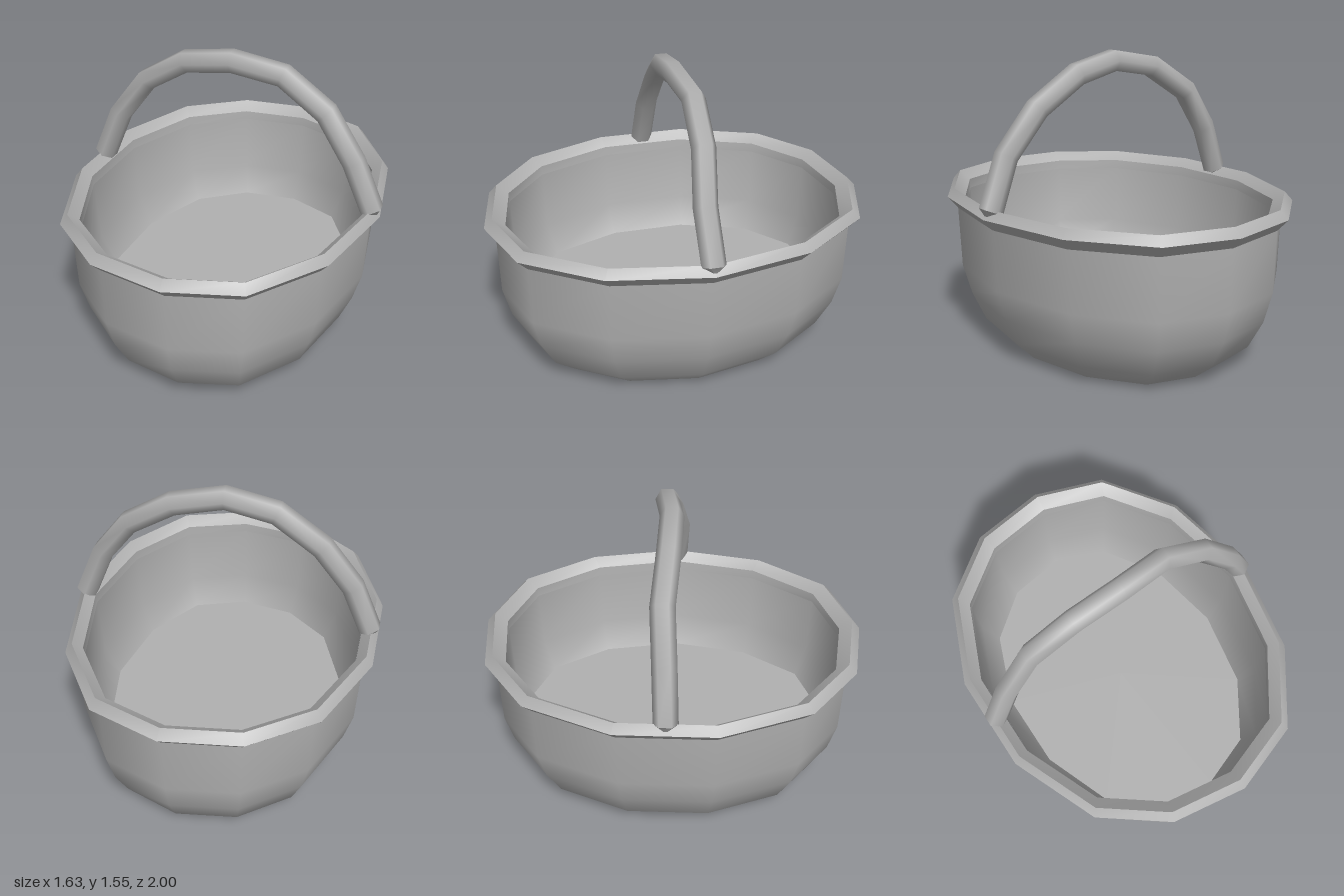
import * as THREE from 'three';
import { mergeGeometries } from 'three/addons/utils/BufferGeometryUtils.js';

// Smooth skin over a list of closed rings of points
function loft(rings) {
  const n = rings[0].length, index = [];
  for (let i = 0; i < rings.length - 1; i++) {
    for (let k = 0; k < n; k++) {
      const a = i * n + k, b = i * n + (k + 1) % n;
      const d = a + n, c = b + n;
      index.push(a, d, b, b, d, c);
    }
  }
  const g = new THREE.BufferGeometry().setFromPoints(rings.flat());
  g.setIndex(index);
  g.computeVertexNormals();
  return g;
}

// Thirteen-sided oval plan, mirrored across z (unit radii)
const half = [[1, 0], [0.877, 0.503], [0.557, 0.873], [0.105, 1], [-0.38, 0.942], [-0.77, 0.704], [-1, 0.254]];
const plan = [...half, ...half.slice(1).reverse().map(([x, z]) => [x, -z])];
const oval = ([rx, rz, y]) => plan.map(([x, z]) => new THREE.Vector3(x * rx, y, z * rz));

// Separate strips between successive rings, so the edges stay sharp
const facets = (profile) => mergeGeometries(
  profile.slice(1).map((p, i) => loft([oval(profile[i]), oval(p)])));

export function createModel() {
  const group = new THREE.Group();
  const grey = new THREE.MeshStandardMaterial({ color: 0xb0b0b0 });
  grey.name = 'grey';
  const add = (name, geometry) => {
    const mesh = new THREE.Mesh(geometry, grey);
    mesh.name = name;
    group.add(mesh);
  };

  // Bowl: profile rows are [x radius, z radius, height]
  const outer = [[0.535, 0.7, 0], [0.635, 0.82, 0.1], [0.7, 0.9, 0.25], [0.745, 0.94, 0.41], [0.76, 0.945, 0.74]];
  const inner = [[0.72, 0.89, 0.74], [0.7, 0.88, 0.42], [0.62, 0.815, 0.26]];
  add('outerWall', loft(outer.map(oval)));
  add('innerWall', loft(inner.map(oval)));
  add('base', loft([[0, 0, 0], outer[0]].map(oval)));
  add('floor', loft([inner[2], [0, 0, 0.26]].map(oval)));

  // Rim band
  add('rim', facets([
    [0.72, 0.89, 0.73], [0.76, 0.945, 0.73], [0.81, 1, 0.79],
    [0.775, 0.957, 0.835], [0.725, 0.892, 0.79], [0.72, 0.89, 0.73],
  ]));

  // Slightly wavering six-sided handle
  const path = [
    [-0.765, 0.825, 0], [-0.66, 1.08, -0.01], [-0.495, 1.3, -0.025], [-0.26, 1.45, -0.005], [0, 1.497, 0],
    [0.26, 1.45, -0.035], [0.495, 1.3, -0.02], [0.66, 1.08, 0.015], [0.765, 0.825, 0],
  ].map((p) => new THREE.Vector3(...p));
  const rings = path.map((p, i) => {
    const t = path[Math.min(i + 1, path.length - 1)].clone().sub(path[Math.max(i - 1, 0)]).setZ(0).normalize();
    return Array.from({ length: 6 }, (_, k) => {
      const a = (k + 0.5) * Math.PI / 3, c = 0.061 * Math.cos(a), s = 0.061 * Math.sin(a);
      return new THREE.Vector3(p.x - t.y * c, p.y + t.x * c, p.z - s);
    });
  });
  const tip = (side) => Array.from({ length: 6 }, () => new THREE.Vector3(side * 0.79, 0.79, 0));
  add('handle', loft(rings));
  add('rightHandleEnd', loft([tip(-1), rings[0]]));
  add('leftHandleEnd', loft([rings[rings.length - 1], tip(1)]));

  return group;
}
